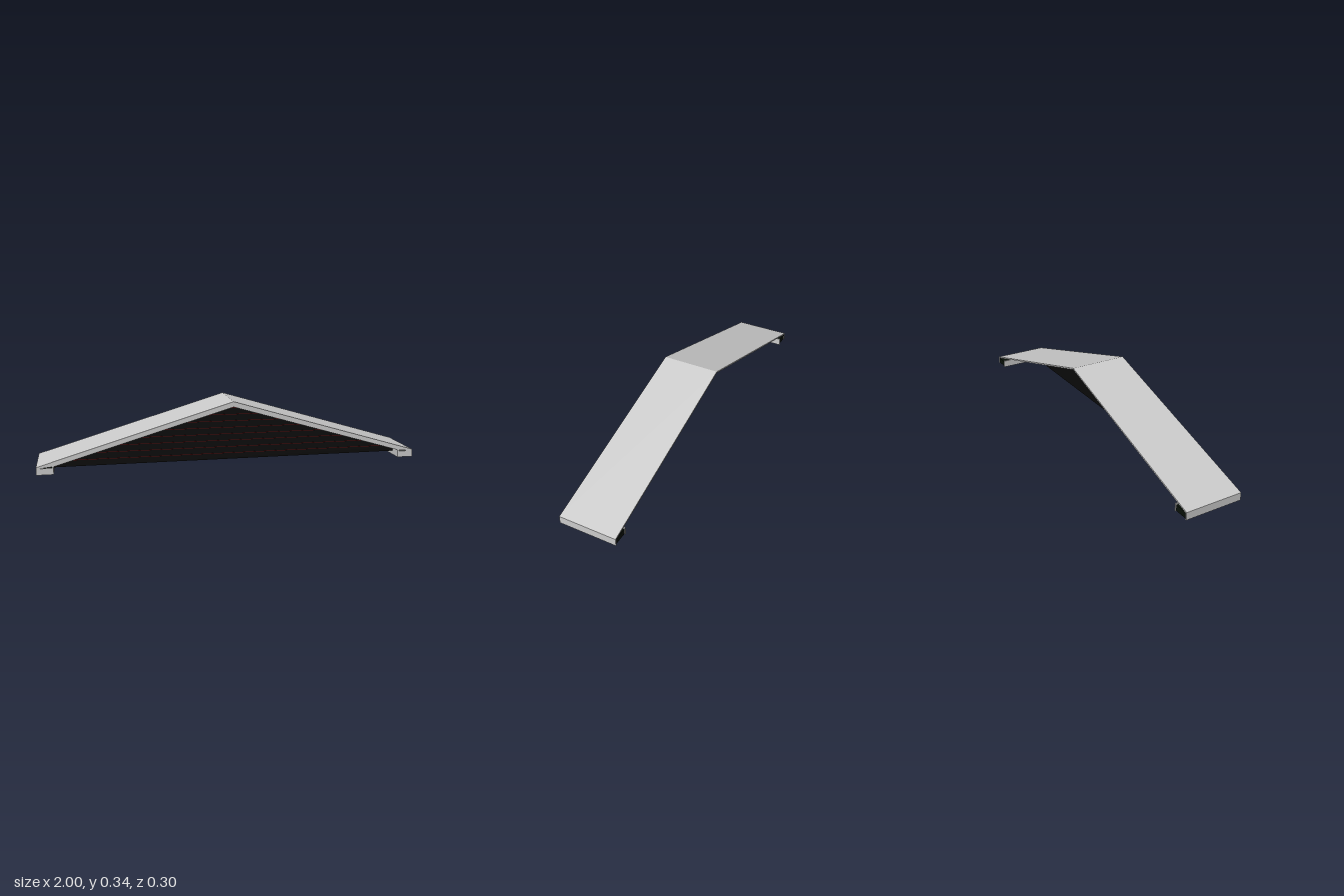
import * as THREE from 'three';

const EAVE = 0.04, RIDGE = 0.338, BACK = -0.152, FRONT = 0.152;

const grey = new THREE.MeshStandardMaterial({ color: 0xcccccc, flatShading: true });
const black = new THREE.MeshStandardMaterial({ color: 0x0a0a0a });
const red = new THREE.MeshStandardMaterial({ color: 0x550808 });
const darkGreen = new THREE.MeshStandardMaterial({ color: 0x081008 });

// Extrudes an x-y outline from z0 to z1
function slab(name, points, z0, z1, material) {
  const shape = new THREE.Shape(points.map(([x, y]) => new THREE.Vector2(x, y)));
  const geometry = new THREE.ExtrudeGeometry(shape, { depth: z1 - z0, bevelEnabled: false });
  geometry.translate(0, 0, z0);
  const mesh = new THREE.Mesh(geometry, material);
  mesh.name = name;
  return mesh;
}

function box(name, x0, x1, y0, y1, z0, z1, material) {
  const mesh = new THREE.Mesh(new THREE.BoxGeometry(x1 - x0, y1 - y0, z1 - z0), material);
  mesh.position.set((x0 + x1) / 2, (y0 + y1) / 2, (z0 + z1) / 2);
  mesh.name = name;
  return mesh;
}

// Mirrors the right half of an outline to close a symmetrical shape
function gable(name, half, z0, z1, material) {
  const left = half.filter(([x]) => x > 0).reverse().map(([x, y]) => [-x, y]);
  return slab(name, [...half, ...left], z0, z1, material);
}

export function createModel() {
  const group = new THREE.Group();
  group.name = 'gableRoof';

  // Thin roof covering over the full depth
  const t = 0.008;
  group.add(slab('roofCovering', [
    [-1, EAVE], [-1, EAVE - t], [0, RIDGE - t], [1, EAVE - t], [1, EAVE], [0, RIDGE],
  ], BACK, FRONT, grey));

  // Deeper sloping frame under the front part of the roof
  group.add(slab('roofFrame', [
    [-1, EAVE - t], [-0.915, EAVE], [0, 0.31], [0.915, EAVE], [1, EAVE - t], [0, RIDGE - t],
  ], -0.03, FRONT, grey));

  // Recessed gable wall
  const wallZ = 0.085;
  group.add(slab('gableWall', [
    [-0.915, 0.02], [0.915, 0.02], [0.915, 0.042], [0, 0.312], [-0.915, 0.042],
  ], 0.065, wallZ, black));

  // Siding joints across the front of the wall
  for (let i = 0; i < 8; i++) {
    const y = 0.053 + i * 0.0345;
    const w = 0.915 * (0.306 - y) / 0.27;
    if (w > 0) group.add(box('sidingJoint', -w, w, y - 0.0012, y + 0.0012, wallZ - 0.001, wallZ + 0.002, red));
  }

  // Boxed eaves with grey boards around a dark core
  for (const s of [-1, 1]) {
    const eave = new THREE.Group();
    eave.name = s > 0 ? 'leftEave' : 'rightEave';
    const span = (a, b) => (s > 0 ? [a, b] : [-b, -a]);
    eave.add(box('outerBoard', ...span(0.993, 1), 0, 0.033, BACK, FRONT, grey));
    eave.add(box('innerBoard', ...span(0.915, 0.922), 0, 0.04, BACK, FRONT, grey));
    eave.add(box('frontBoard', ...span(0.922, 0.993), 0, 0.033, FRONT - 0.007, FRONT, grey));
    eave.add(box('eaveCore', ...span(0.922, 0.993), 0.003, 0.033, BACK + 0.003, FRONT - 0.007, darkGreen));
    group.add(eave);
  }
  return group;
}
